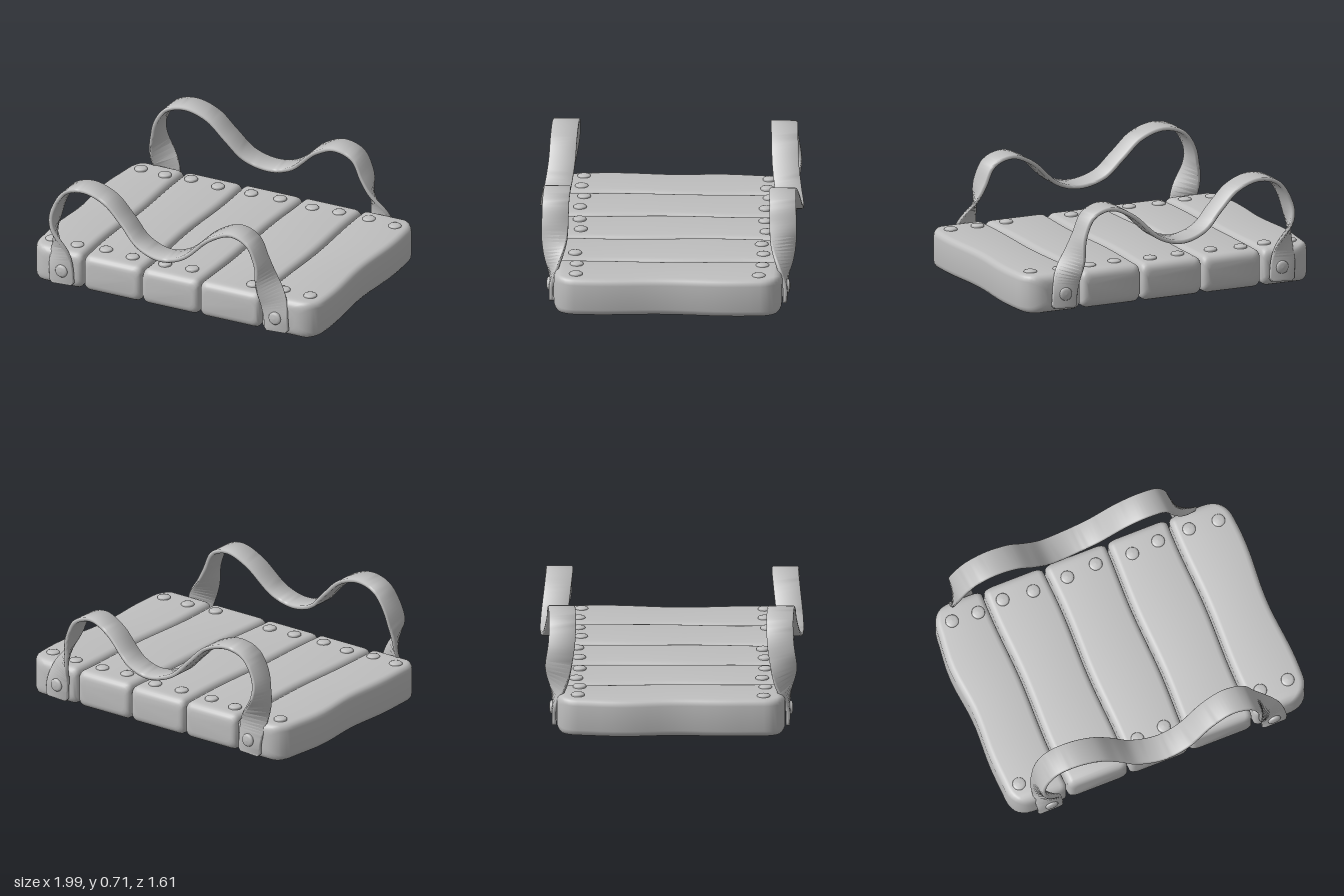
import * as THREE from 'three';
import { toCreasedNormals } from 'three/addons/utils/BufferGeometryUtils.js';

const grey = new THREE.MeshStandardMaterial({ color: 0xbfbfbf });
grey.name = 'plain grey';

// Skin a row of closed rings (counter-clockwise about the travel direction) and cap both ends
function loft(rings, crease = 0.7) {
  const n = rings[0].length, pos = [], idx = [];
  rings.forEach(r => r.forEach(p => pos.push(p.x, p.y, p.z)));
  for (let i = 0; i < rings.length - 1; i++) {
    for (let j = 0; j < n; j++) {
      const a = i * n + j, b = i * n + (j + 1) % n;
      idx.push(a, b, b + n, a, b + n, a + n);
    }
  }
  const last = (rings.length - 1) * n;
  for (let j = 1; j < n - 1; j++) {
    idx.push(0, j + 1, j);
    idx.push(last, last + j, last + j + 1);
  }
  const g = new THREE.BufferGeometry();
  g.setAttribute('position', new THREE.Float32BufferAttribute(pos, 3));
  g.setIndex(idx);
  return toCreasedNormals(g, crease);
}

function add(parent, name, geometry) {
  const m = new THREE.Mesh(geometry, grey);
  m.name = name;
  parent.add(m);
  return m;
}

const HALF = 0.7, TOP = 0.237;

// How far an edge of radius r has curved in at distance d from the plank's end
const inset = (d, r) => (d < r ? r - Math.sqrt(r * r - (r - d) ** 2) : 0);

// Plank running along z, its sides gently uneven; outer corners are rounder
function plank(x0, x1, i) {
  const rx0 = i === 0 ? 0.13 : 0.035, rx1 = i === 4 ? 0.13 : 0.035;
  const ends = [0, 0.003, 0.01, 0.02, 0.035, 0.05, 0.075, 0.1, 0.13];
  const zs = ends.map(d => d - HALF);
  for (let k = 1; k < 16; k++) zs.push(-0.57 + (1.14 * k) / 16);
  ends.slice().reverse().forEach(d => zs.push(HALF - d));
  const wave = (z, k) => 0.006 * Math.sin(z * 7 + k * 2.1);
  const rings = zs.map(z => {
    const d = Math.max(0, HALF - Math.abs(z)), iy = inset(d, 0.05);
    const bow0 = i === 0 ? 0.018 * Math.cos(z * 5) ** 2 : 0;
    const bow1 = i === 4 ? 0.012 * Math.cos(z * 4) ** 2 : 0;
    const l = x0 + inset(d, rx0) + wave(z, i) + bow0;
    const r = x1 - inset(d, rx1) + wave(z, i + 1) - bow1;
    const b = iy, t = TOP - iy + 0.003 * Math.sin(z * 4 + i);
    const c = 0.04, ring = [];
    [[r - c, t - c, 0], [l + c, t - c, 1], [l + c, b + c, 2], [r - c, b + c, 3]].forEach(([x, y, q]) => {
      for (let k = 0; k <= 4; k++) {
        const a = (q + k / 4) * Math.PI / 2;
        ring.push(new THREE.Vector3(x + c * Math.cos(a), y + c * Math.sin(a), z));
      }
    });
    return ring;
  });
  return loft(rings, 0.9);
}

// Strap that lies flat on the plank ends and twists to lie across the top of its waves
function strap(side) {
  const path = new THREE.CatmullRomCurve3([
    [-0.745, 0.03, 0.715], [-0.75, 0.12, 0.717], [-0.765, 0.23, 0.705], [-0.81, 0.4, 0.69],
    [-0.79, 0.54, 0.67], [-0.71, 0.66, 0.665], [-0.58, 0.697, 0.67], [-0.43, 0.65, 0.677],
    [-0.31, 0.54, 0.685], [-0.19, 0.425, 0.705], [-0.03, 0.38, 0.724], [0.12, 0.42, 0.722],
    [0.3, 0.575, 0.7], [0.44, 0.632, 0.69], [0.56, 0.59, 0.695], [0.62, 0.47, 0.698],
    [0.66, 0.34, 0.702], [0.71, 0.22, 0.708], [0.73, 0.12, 0.717], [0.735, 0.03, 0.715],
  ].map(p => new THREE.Vector3(...p)));
  const N = 120, rings = [];
  for (let i = 0; i <= N; i++) {
    const p = path.getPoint(i / N), t = path.getTangent(i / N);
    let a = Math.PI / 2;
    if (p.x < -0.7 || p.x > 0.55) a *= THREE.MathUtils.smoothstep(p.y, 0.1, 0.5);
    if (p.x > 0) a = Math.PI - a;
    const w = new THREE.Vector3(Math.cos(a), 0, Math.sin(a));
    w.addScaledVector(t, -w.dot(t)).normalize();
    const n = new THREE.Vector3().crossVectors(w, t).normalize();
    const h = 0.013, e = 0.006, half = i === 0 || i === N ? 0.07 : 0.082;
    const ring = [
      [h - e, -half], [h, e - half], [h, half - e], [h - e, half],
      [e - h, half], [-h, half - e], [-h, e - half], [e - h, -half],
    ].map(([u, v]) => p.clone().addScaledVector(n, u).addScaledVector(w, v));
    if (side < 0) {
      ring.forEach(q => { q.z *= -1; });
      ring.reverse();
    }
    rings.push(ring);
  }
  return loft(rings, 0.9);
}

export function createModel() {
  const model = new THREE.Group();
  model.name = 'plankBoardWithStraps';

  // Five planks side by side
  const planks = new THREE.Group();
  planks.name = 'planks';
  model.add(planks);
  const seams = [-1, -0.62, -0.217, 0.19, 0.605, 0.995];
  for (let i = 0; i < 5; i++) {
    add(planks, 'plank', plank(seams[i] + 0.006, seams[i + 1] - 0.006, i));
  }

  // Low domed rivet, shared by planks and straps
  const rivetGeo = new THREE.LatheGeometry(
    [[0.041, -0.02], [0.041, 0.006], [0.037, 0.012], [0.024, 0.016], [0, 0.018]]
      .map(([x, y]) => new THREE.Vector2(x, y)), 20);

  // Rivets along both ends of the planks
  const rivets = new THREE.Group();
  rivets.name = 'rivets';
  model.add(rivets);
  const rows = [
    [-0.57, [-0.87, -0.7, -0.53, -0.335, -0.108, 0.085, 0.318, 0.495, 0.7, 0.888]],
    [0.567, [-0.892, -0.712, -0.525, -0.332, -0.11, 0.07, 0.502, 0.705, 0.887]],
  ];
  rows.forEach(([z, xs]) => xs.forEach((x, i) => {
    add(rivets, 'plankRivet', rivetGeo).position.set(x, TOP - 0.001, z + 0.012 * Math.sin(i * 2.3));
  }));

  // A wavy strap on the front and its mirror on the back, riveted at both feet
  for (const side of [1, -1]) {
    const group = new THREE.Group();
    group.name = side > 0 ? 'frontStrap' : 'backStrap';
    model.add(group);
    add(group, 'strap', strap(side));
    for (const x of [-0.742, 0.73]) {
      const r = add(group, 'strapRivet', rivetGeo);
      r.position.set(x, 0.12, side * 0.729);
      r.rotation.x = side * Math.PI / 2;
    }
  }
  return model;
}
